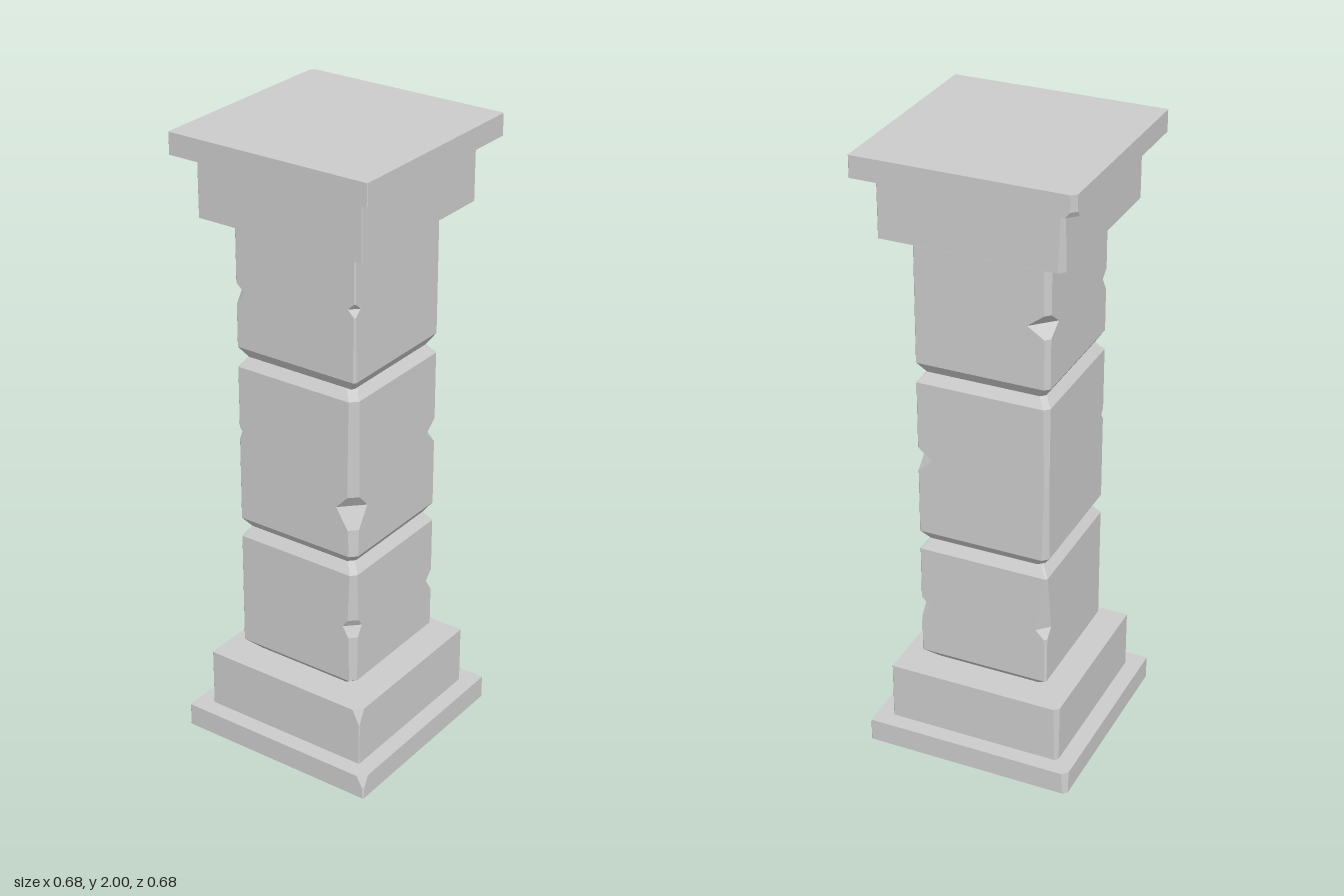
import * as THREE from 'three';

// Piecewise linear lookup in a list of [y, value] keys
function lerpKeys(keys, y) {
  if (y <= keys[0][0]) return keys[0][1];
  for (let i = 1; i < keys.length; i++) {
    const [y0, v0] = keys[i - 1], [y1, v1] = keys[i];
    if (y <= y1) return v0 + (v1 - v0) * (y - y0) / (y1 - y0);
  }
  return keys[keys.length - 1][1];
}

// Square column: profile is [y, half width]; chips holds [y, corner cut] keys
// for the corners (+x+z), (+x-z), (-x-z), (-x+z)
function stone(name, profile, chips) {
  const bottom = profile[0][0], top = profile[profile.length - 1][0];
  const ys = [...new Set([profile, ...chips].flat().map(k => k[0]))]
    .filter(y => y >= bottom && y <= top).sort((a, b) => a - b);
  const rings = ys.map(y => {
    const h = lerpKeys(profile, y), ring = [];
    chips.forEach((keys, corner) => {
      const c = lerpKeys(keys, y);
      for (let [x, z] of [[h - c, h], [h, h - c]]) {
        for (let k = 0; k < corner; k++) [x, z] = [z, -x];
        ring.push([x, y, z]);
      }
    });
    return ring;
  });
  const pos = [];
  const tri = (a, b, c) => pos.push(...a, ...b, ...c);
  for (let i = 0; i + 1 < rings.length; i++) {
    const a = rings[i], b = rings[i + 1];
    for (let j = 0; j < 8; j++) {
      const k = (j + 1) % 8;
      tri(a[j], a[k], b[k]);
      tri(a[j], b[k], b[j]);
    }
  }
  const first = rings[0], last = rings[rings.length - 1];
  for (let j = 1; j < 7; j++) {
    tri(first[0], first[j + 1], first[j]);
    tri(last[0], last[j], last[j + 1]);
  }
  const geo = new THREE.BufferGeometry();
  geo.setAttribute('position', new THREE.Float32BufferAttribute(pos, 3));
  geo.computeVertexNormals();
  const mesh = new THREE.Mesh(geo, new THREE.MeshStandardMaterial({ color: 0xcccccc, flatShading: true }));
  mesh.name = name;
  return mesh;
}

export function createModel() {
  const group = new THREE.Group();
  group.name = 'stonePillar';
  const sharp = [[0, 0.002]];

  // Base and capital
  group.add(
    stone('baseSlab', [[0, 0.337], [0.075, 0.337]],
      [sharp, [[0, 0.012], [0.075, 0.018]], sharp, [[0, 0.003], [0.04, 0.006], [0.075, 0.025]]]),
    stone('baseBlock', [[0.075, 0.283], [0.266, 0.283]],
      [sharp, [[0.075, 0.01], [0.266, 0.015]], sharp, [[0.22, 0.003], [0.266, 0.025]]]),
    stone('capitalBlock', [[1.738, 0.283], [1.932, 0.283]],
      [sharp, [[1.738, 0.018], [1.932, 0.01]], sharp, sharp]),
    stone('capitalSlab', [[1.932, 0.338], [2, 0.338]],
      [sharp, [[1.932, 0.03], [1.95, 0.016], [2, 0.015]], sharp, sharp]));

  // Three shaft blocks with bevelled ends and chipped corners
  group.add(
    stone('lowerShaftBlock', [[0.266, 0.172], [0.305, 0.211], [0.682, 0.211], [0.714, 0.188]], [
      [[0.43, 0.002], [0.47, 0.034], [0.505, 0.002]],
      [[0.3, 0.006], [0.46, 0.008], [0.49, 0.036], [0.69, 0.006]],
      sharp,
      [[0.3, 0.018], [0.46, 0.02], [0.495, 0.042], [0.52, 0.024], [0.7, 0.016]]]),
    stone('middleShaftBlock', [[0.714, 0.188], [0.746, 0.211], [1.26, 0.211], [1.29, 0.188]], [
      [[0.96, 0.002], [1.003, 0.045], [1.04, 0.002]],
      [[0.75, 0.018], [1.0, 0.012], [1.26, 0.016]],
      [[1.02, 0.002], [1.04, 0.016], [1.06, 0.002]],
      [[0.75, 0.02], [0.835, 0.024], [0.902, 0.066], [0.945, 0.026], [1.26, 0.022]]]),
    stone('upperShaftBlock', [[1.29, 0.188], [1.325, 0.211], [1.7, 0.211], [1.738, 0.168]], [
      sharp,
      [[1.3, 0.014], [1.485, 0.015], [1.52, 0.068], [1.56, 0.016], [1.7, 0.018]],
      [[1.46, 0.002], [1.505, 0.03], [1.53, 0.002]],
      [[1.3, 0.008], [1.53, 0.005], [1.55, 0.026], [1.57, 0.004]]]));
  return group;
}
